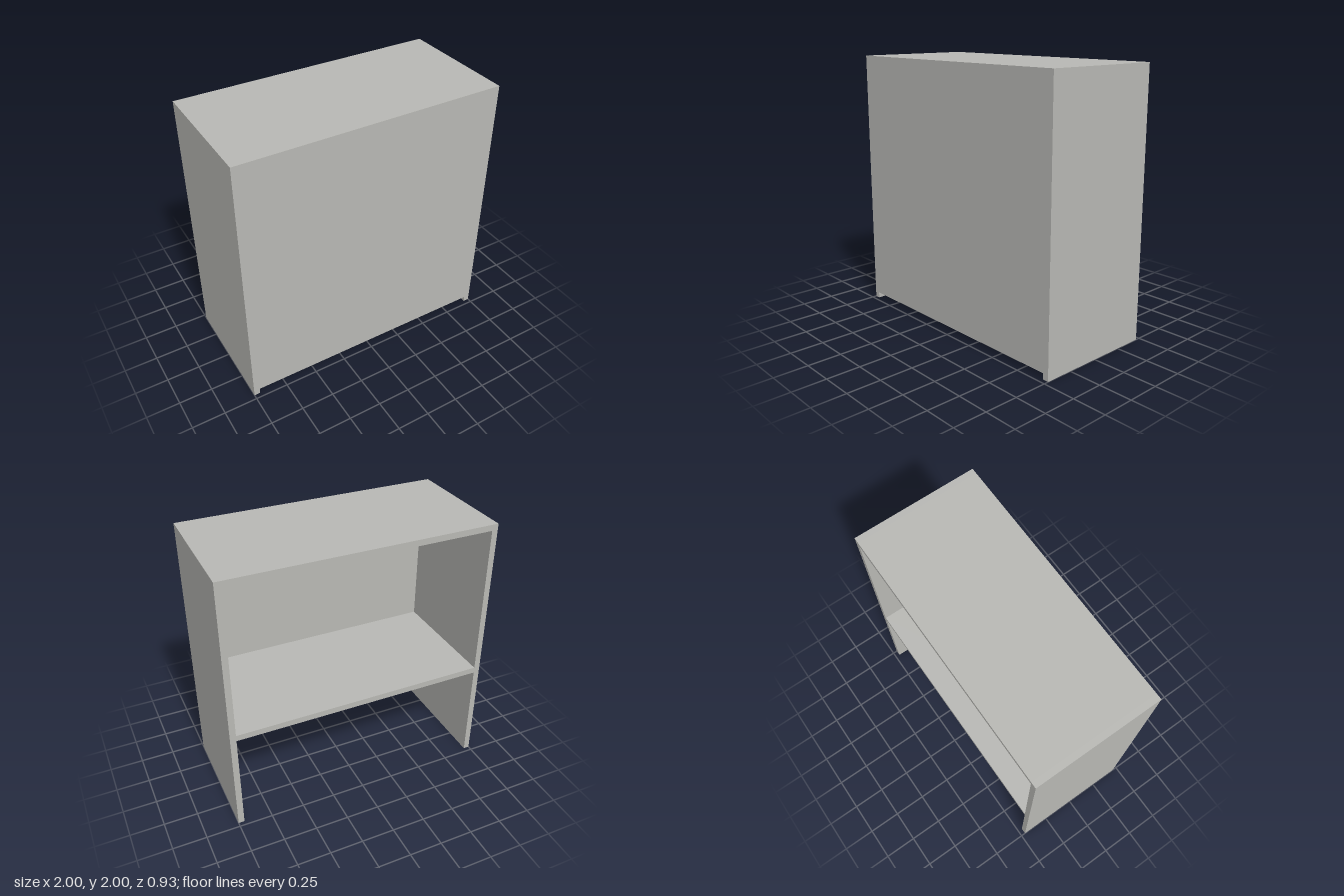
import * as THREE from 'three';

export function createModel() {
  const model = new THREE.Group();
  model.name = 'shelfCabinet';
  const paint = new THREE.MeshStandardMaterial({ color: 0xb8b8b4 });
  paint.name = 'warm grey';

  const depth = 0.93;      // overall z size
  const board = 0.045;     // thickness of the boards
  const sheet = 0.006;     // thickness of the front panel
  const inner = 2 - 2 * board;

  // Box given by its size and the position of its bottom centre
  function addBoard(name, w, h, d, x, y, z) {
    const mesh = new THREE.Mesh(new THREE.BoxGeometry(w, h, d), paint);
    mesh.name = name;
    mesh.position.set(x, y + h / 2, z);
    model.add(mesh);
  }

  // Full-height sides
  for (const [name, s] of [['leftSide', 1], ['rightSide', -1]]) {
    addBoard(name, board, 2, depth, s * (1 - board / 2), 0, 0);
  }

  // Top and middle shelf between the sides
  addBoard('top', inner, board, depth, 0, 2 - board, 0);
  addBoard('shelf', inner, board, depth - sheet, 0, 0.773, -sheet / 2);

  // Thin front panel, raised off the floor; the back stays open
  addBoard('frontPanel', inner, 2 - 2 * board, sheet, 0, board, depth / 2 - sheet / 2);

  return model;
}
